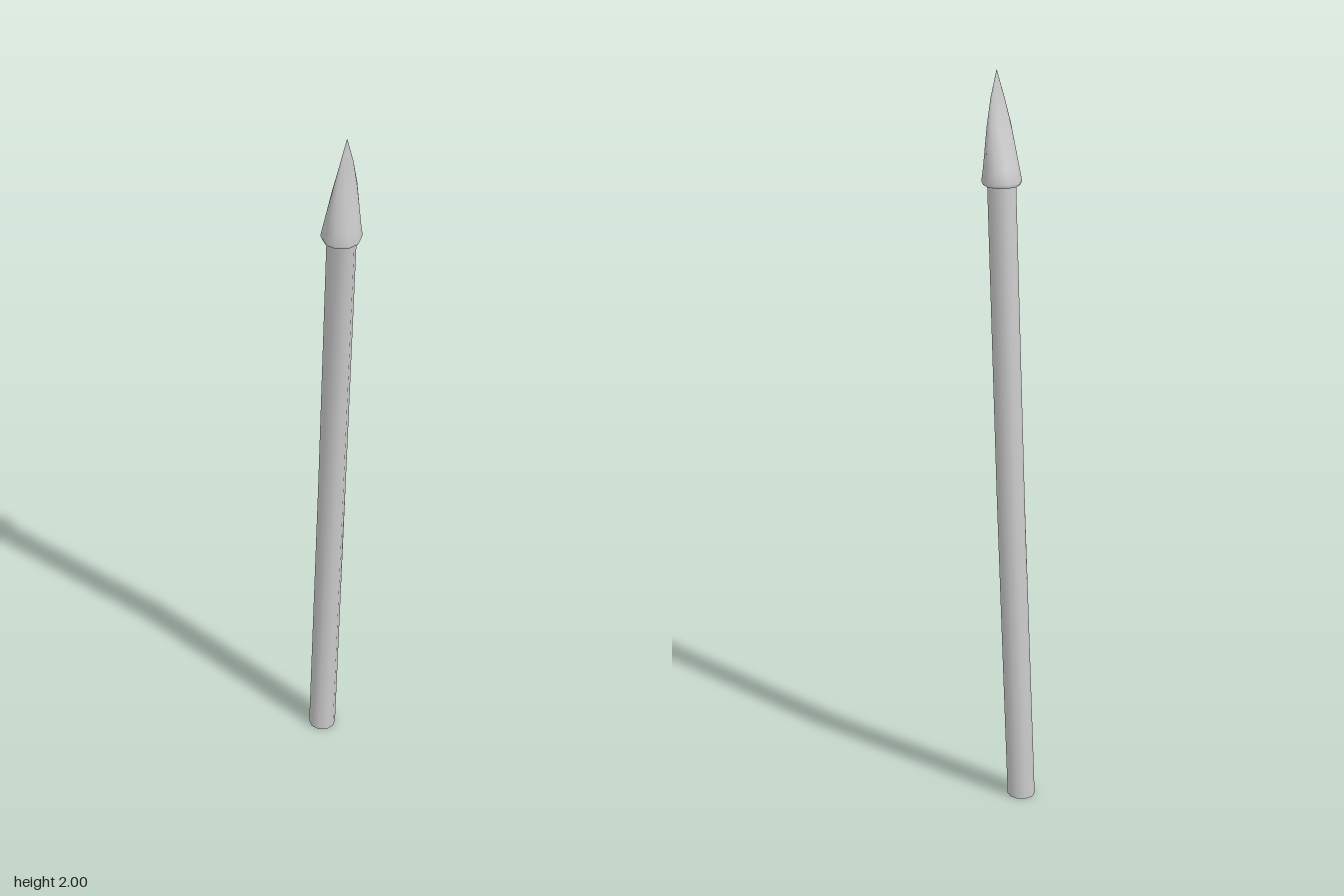
import * as THREE from 'three';

const SIDES = 10;
const material = new THREE.MeshStandardMaterial({ color: 0xcccccc });

// Smooth skin through elliptical rings [x, y, z, radiusX, radiusZ], closed flat at the bottom
function loft(name, rings) {
  const pos = [], index = [];
  const addRing = ([x, y, z, rx, rz]) => {
    for (let j = 0; j < SIDES; j++) {
      const a = Math.PI / 2 + (j / SIDES) * Math.PI * 2;
      pos.push(x + rx * Math.cos(a), y, z + rz * Math.sin(a));
    }
  };
  rings.forEach(addRing);
  for (let i = 0; i < rings.length - 1; i++) {
    for (let j = 0; j < SIDES; j++) {
      const k = (j + 1) % SIDES;
      const a = i * SIDES + j, b = i * SIDES + k;
      index.push(a, a + SIDES, b, b, a + SIDES, b + SIDES);
    }
  }
  // Bottom cap with its own vertices, so its rim stays sharp
  const start = rings.length * SIDES;
  addRing(rings[0]);
  pos.push(...rings[0].slice(0, 3));
  for (let j = 0; j < SIDES; j++) index.push(start + SIDES, start + j, start + ((j + 1) % SIDES));

  const geometry = new THREE.BufferGeometry();
  geometry.setAttribute('position', new THREE.Float32BufferAttribute(pos, 3));
  geometry.setIndex(index);
  geometry.computeVertexNormals();
  const mesh = new THREE.Mesh(geometry, material);
  mesh.name = name;
  return mesh;
}

export function createModel() {
  const group = new THREE.Group();
  group.name = 'spear';

  // Slightly bent shaft
  group.add(loft('shaft', [
    [-0.051, 0, 0.004, 0.038, 0.037],
    [-0.036, 0.87, -0.021, 0.037, 0.037],
    [0.036, 1.72, 0.004, 0.038, 0.037],
  ]));

  // Round-based head that flattens into a blade and leans to its tip
  group.add(loft('spearhead', [
    [0.035, 1.705, 0.004, 0.048, 0.048],
    [0.035, 1.715, 0.004, 0.053, 0.052],
    [0.037, 1.75, 0.004, 0.043, 0.049],
    [0.047, 1.86, 0.004, 0.015, 0.039],
    [0.053, 1.93, 0.004, 0.006, 0.022],
    [0.056, 2, 0.004, 0.0005, 0.0005],
  ]));
  return group;
}
